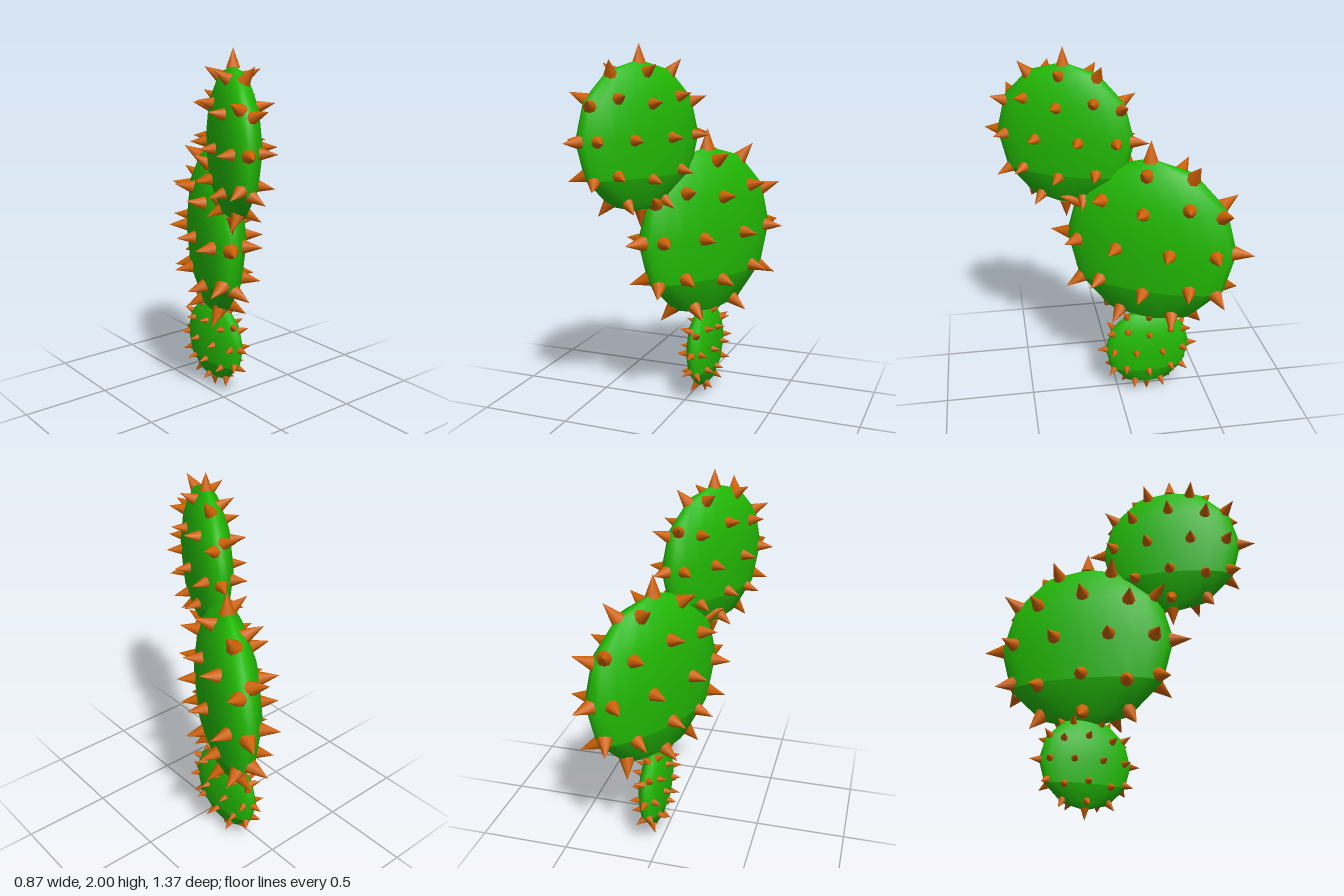
import * as THREE from 'three';

const green = new THREE.MeshStandardMaterial({ color: 0x22b904 });
green.name = 'cactus green';
const orange = new THREE.MeshStandardMaterial({ color: 0xd06204 });
orange.name = 'spine orange';

const THICK = 0.315; // thickness of a pad relative to its radius
const rad = THREE.MathUtils.degToRad;

// Lathed band of a unit ball between two latitudes (degrees)
function ballBand(from, to) {
  const points = [];
  for (let lat = from; lat <= to; lat += 30) {
    points.push(new THREE.Vector2(Math.max(Math.cos(rad(lat)), 0.0001), Math.sin(rad(lat))));
  }
  return new THREE.LatheGeometry(points, 20);
}

const upperBand = ballBand(-30, 90);
const lowerBand = ballBand(-90, -30);

// Spine: a cone whose base sits just under the skin
const spineGeometry = new THREE.ConeGeometry(0.09, 0.25, 8);
spineGeometry.translate(0, 0.083, 0);

// Rings of spines, spread like the points of a once-divided icosahedron:
// latitude, count, start angle
const rings = [
  [90, 1, 0], [58.28, 5, 90], [31.72, 5, 270], [26.57, 5, 90], [0, 10, 0],
  [-26.57, 5, 270], [-31.72, 5, 90], [-58.28, 5, 270], [-90, 1, 0],
];

function makePad(name, radius, position, turn) {
  const pad = new THREE.Group();
  pad.name = name;

  // Flattened body with an edge where the underside begins
  for (const [part, geometry] of [['body', upperBand], ['underside', lowerBand]]) {
    const mesh = new THREE.Mesh(geometry, green);
    mesh.name = part;
    mesh.scale.z = THICK;
    pad.add(mesh);
  }

  // Spines stand square to the skin
  const up = new THREE.Vector3(0, 1, 0);
  for (const [lat, count, start] of rings) {
    for (let i = 0; i < count; i++) {
      const angle = rad(start + (i * 360) / count);
      const r = Math.cos(rad(lat));
      const x = r * Math.cos(angle), y = Math.sin(rad(lat)), z = r * Math.sin(angle);
      const spine = new THREE.Mesh(spineGeometry, orange);
      spine.name = 'spine';
      spine.position.set(x, y, z * THICK);
      spine.quaternion.setFromUnitVectors(up, new THREE.Vector3(x, y, z / THICK).normalize());
      pad.add(spine);
    }
  }

  pad.scale.setScalar(radius);
  pad.position.set(...position);
  pad.rotation.y = rad(turn);
  return pad;
}

export function createModel() {
  const model = new THREE.Group();
  model.name = 'cactus';
  model.add(makePad('basePad', 0.245, [0.065, 0.296, -0.165], 90));
  model.add(makePad('middlePad', 0.482, [0.07, 0.962, -0.168], 62.5));
  model.add(makePad('topPad', 0.392, [-0.147, 1.526, 0.262], 62.5));
  return model;
}
